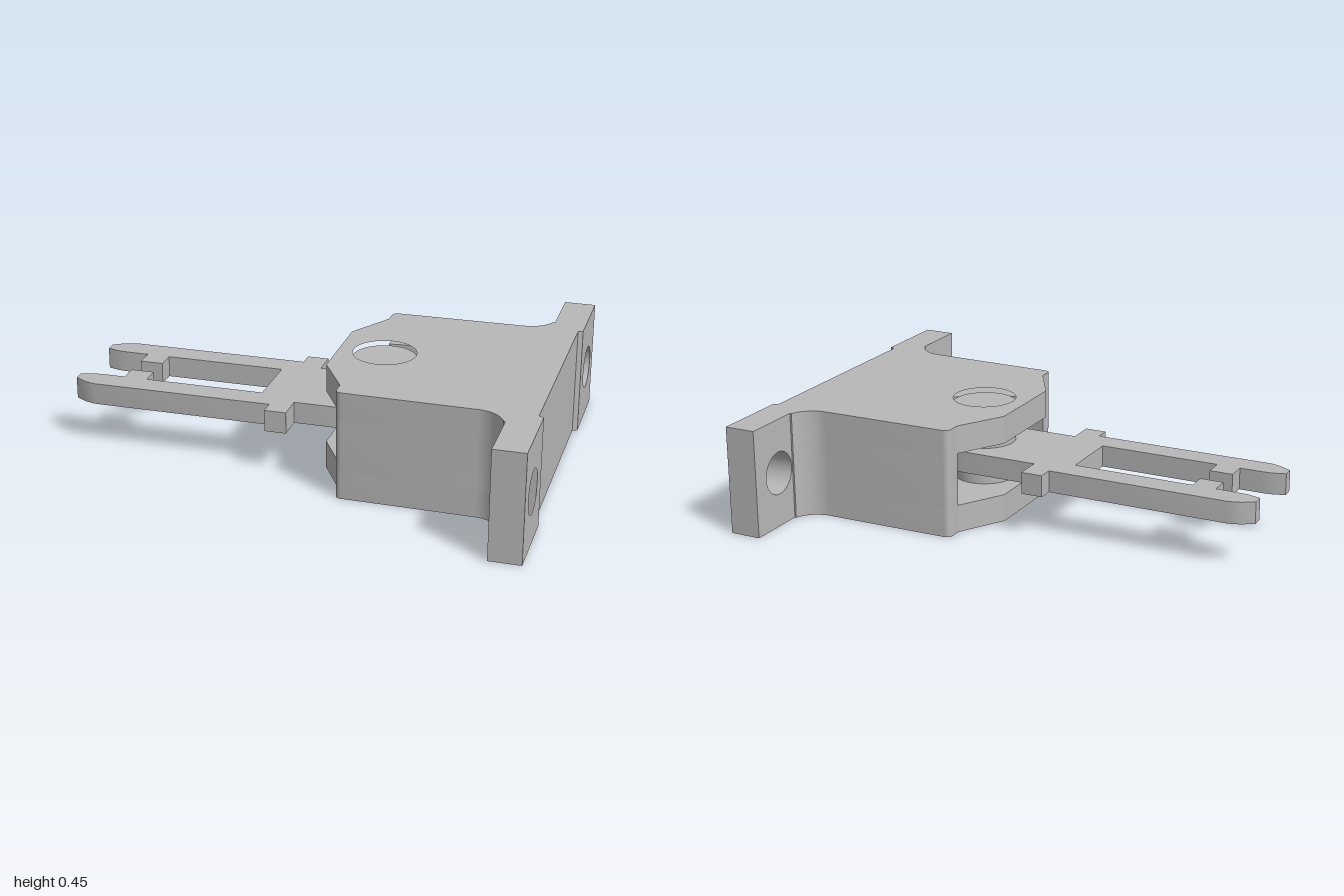
import * as THREE from 'three';
import { toCreasedNormals } from 'three/addons/utils/BufferGeometryUtils.js';

const H = 0.45;                       // body height
const SLOT = [0.115, 0.335];          // slot between the jaws
const PIVOT = { x: 0.27, r: 0.13 };   // pivot pin

// Points [x, z] along a circular arc
function arc(cx, cz, r, a0, a1, n) {
  return Array.from({ length: n + 1 }, (_, i) => {
    const a = a0 + (a1 - a0) * i / n;
    return [cx + r * Math.cos(a), cz + r * Math.sin(a)];
  });
}

// Closed shape from a half outline, mirrored across z = 0
function mirrored(half) {
  const other = half.map(([x, z]) => [x, -z]).reverse();
  return new THREE.Shape([...half, ...other].map(p => new THREE.Vector2(...p)));
}

function circle(x, y, r) {
  return new THREE.Path().absarc(x, y, r, 0, Math.PI * 2, true);
}

// Extrude a plan shape upward from y0 to y1
function slab(shape, y0, y1) {
  const g = new THREE.ExtrudeGeometry(shape, { depth: y1 - y0, bevelEnabled: false, curveSegments: 24 });
  g.rotateX(-Math.PI / 2).translate(0, y0, 0);
  return toCreasedNormals(g, 0.5);
}

export function createModel() {
  const model = new THREE.Group();
  model.name = 'hingedKey';
  const grey = new THREE.MeshStandardMaterial({ color: 0xb8b8b8 });
  grey.name = 'grey';
  const add = (name, geometry) => {
    const mesh = new THREE.Mesh(geometry, grey);
    mesh.name = name;
    model.add(mesh);
  };

  // Housing sides: rounded corner, long wall, fillet into the flange, back step
  const flangeZ = 0.54;
  const side = [
    [0.19, 0.38],
    ...arc(0.215, 0.428, 0.025, Math.PI, Math.PI / 2, 5),
    ...arc(0.75, 0.58, 0.12, -Math.PI / 2, -Math.asin(0.04 / 0.12), 10),
    [0.87, flangeZ], [1, flangeZ], [1, 0.465], [0.98, 0.455],
  ];

  // Upper and lower jaws, each with a hole for the pin
  const jaw = mirrored([[0.08, 0.19], ...side]);
  jaw.holes.push(circle(PIVOT.x, 0, PIVOT.r));
  add('lowerJaw', slab(jaw, 0, SLOT[0]));
  add('upperJaw', slab(jaw, SLOT[1], H));

  // Middle layer with a rounded cavity that opens to the front of the jaws
  const cavity = arc(PIVOT.x, 0, 0.388, 0.02, 1.75, 20);
  add('housingWall', slab(mirrored([...cavity, ...side]), ...SLOT));

  // Mounting flanges with screw holes running along x
  for (const s of [1, -1]) {
    const f = new THREE.Shape([[flangeZ, 0], [0.795, 0], [0.795, H], [flangeZ, H]]
      .map(([u, y]) => new THREE.Vector2(u * s, y)));
    f.holes.push(circle(0.635 * s, H / 2, 0.089));
    const g = new THREE.ExtrudeGeometry(f, { depth: 0.13, bevelEnabled: false, curveSegments: 24 });
    g.rotateY(Math.PI / 2).translate(0.87, 0, 0);
    add(s > 0 ? 'rearFlange' : 'frontFlange', toCreasedNormals(g, 0.5));
  }

  // Pivot pin, slightly sunk into both faces
  const pin = new THREE.CylinderGeometry(PIVOT.r, PIVOT.r, H - 0.04, 48);
  pin.translate(PIVOT.x, H / 2, 0);
  add('pivotPin', pin);

  // Flat key: rounded root, shoulder tabs, two pointed prongs with inner hooks
  const key = mirrored([
    ...arc(PIVOT.x, 0, 0.19, 0.05, Math.PI / 2, 12),
    [-0.055, 0.19], [-0.055, 0.302], [-0.145, 0.302], [-0.145, 0.238],
    [-0.905, 0.238], [-0.95, 0.225], [-1, 0.195], [-1, 0.15], [-0.95, 0.135], [-0.91, 0.131],
    [-0.812, 0.131], [-0.812, 0.05], [-0.715, 0.05], [-0.715, 0.131],
    [-0.21, 0.131],
  ]);
  add('key', slab(key, 0.18, 0.27));

  return model;
}
